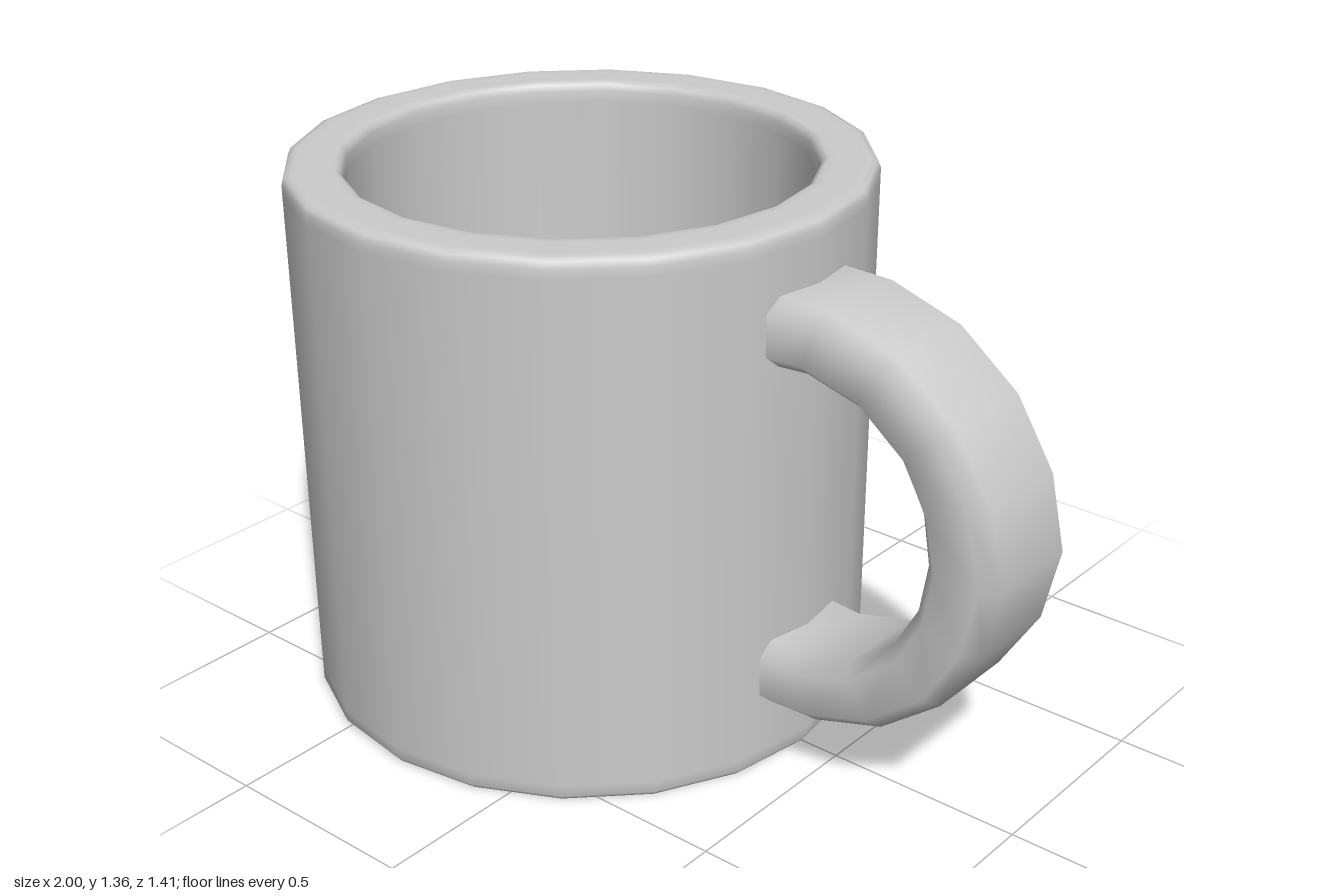
import * as THREE from 'three';

const material = new THREE.MeshStandardMaterial({ color: 0xcccccc });

// Cup: one turned profile, from the underside up the outside and down the inside
function makeCup() {
  const profile = [
    [0, 0], [0.67, 0], [0.69, 0], [0.7, 0.012], [0.7, 0.04],
    [0.705, 1.315], [0.705, 1.338], [0.699, 1.354], [0.682, 1.36], [0.66, 1.36],
    [0.6, 1.36], [0.582, 1.36], [0.57, 1.354], [0.564, 1.338], [0.563, 1.31],
    [0.555, 0.2], [0.548, 0.165], [0.525, 0.145], [0.49, 0.14], [0, 0.14],
  ].map(([r, y]) => new THREE.Vector2(r, y));
  const cup = new THREE.Mesh(new THREE.LatheGeometry(profile, 20), material);
  cup.name = 'cup';
  cup.position.x = -0.295;
  return cup;
}

// Handle: a bevelled rectangular section swept between an outer and an inner arc
function makeHandle() {
  const midY = 0.69;
  // Upper half as outer x, y and inner x, y; the lower half mirrors it
  const upper = [
    [0.385, 1.21, 0.385, 1.042], [0.52, 1.207, 0.47, 1.048], [0.705, 1.15, 0.615, 1.01],
    [0.86, 1.03, 0.73, 0.92], [0.96, 0.87, 0.79, 0.81], [1, 0.69, 0.81, 0.69],
  ];
  const lower = upper.slice(0, -1).reverse()
    .map(([ox, oy, ix, iy]) => [ox, 2 * midY - oy, ix, 2 * midY - iy]);
  const stations = [...upper, ...lower];

  // Section corners: fraction from the inner to the outer arc, and z
  const section = [
    [0, -0.12], [0.2, -0.16], [0.8, -0.16], [1, -0.12],
    [1, 0.12], [0.8, 0.16], [0.2, 0.16], [0, 0.12],
  ];
  const n = section.length;
  const positions = [];
  const indices = [];
  stations.forEach(([ox, oy, ix, iy], s) => {
    for (const [t, z] of section) positions.push(ix + (ox - ix) * t, iy + (oy - iy) * t, z);
    if (s === 0) return;
    for (let k = 0; k < n; k++) {
      const a = (s - 1) * n + k, b = (s - 1) * n + (k + 1) % n;
      indices.push(a, b, a + n, b, b + n, a + n);
    }
  });

  // Flat ends against the cup, with their own corners to stay sharp
  for (const s of [0, stations.length - 1]) {
    const start = positions.length / 3;
    positions.push(...positions.slice(s * n * 3, (s + 1) * n * 3));
    for (let k = 1; k < n - 1; k++) {
      if (s === 0) indices.push(start, start + k + 1, start + k);
      else indices.push(start, start + k, start + k + 1);
    }
  }

  const geometry = new THREE.BufferGeometry();
  geometry.setAttribute('position', new THREE.Float32BufferAttribute(positions, 3));
  geometry.setIndex(indices);
  geometry.computeVertexNormals();
  const handle = new THREE.Mesh(geometry, material);
  handle.name = 'handle';
  return handle;
}

export function createModel() {
  const mug = new THREE.Group();
  mug.name = 'mug';
  mug.add(makeCup(), makeHandle());
  return mug;
}
